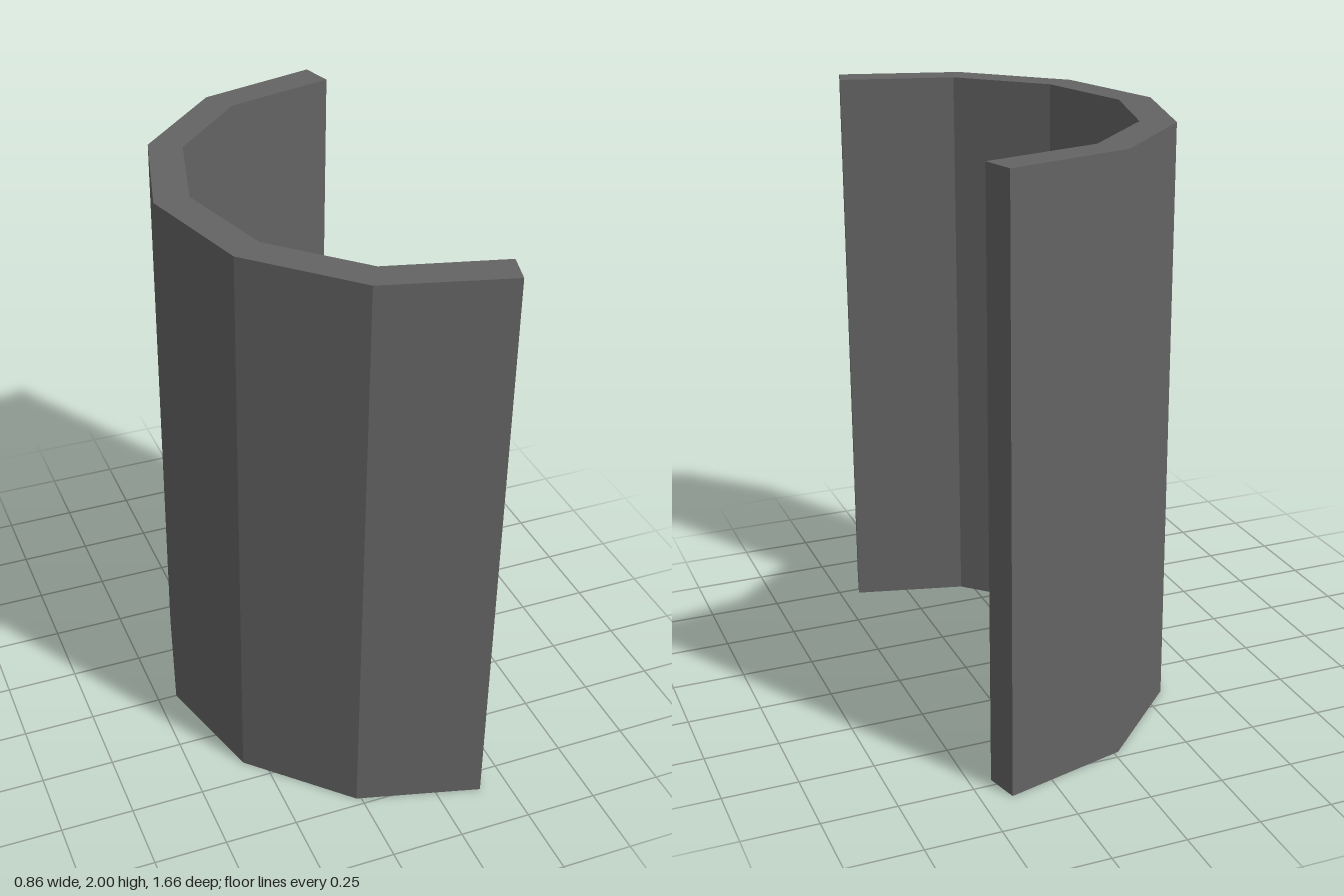
import * as THREE from 'three';

const HEIGHT = 2;
const CENTRE_X = 0.4;
const OUTER_RADIUS = 0.832;
const INNER_RADIUS = 0.716;

// Corner of a twelve-sided ring, at an angle in degrees
function corner(radius, degrees) {
  const a = THREE.MathUtils.degToRad(degrees);
  return new THREE.Vector2(CENTRE_X + radius * Math.cos(a), radius * Math.sin(a));
}

export function createModel() {
  const group = new THREE.Group();
  group.name = 'halfPipe';

  const darkGrey = new THREE.MeshStandardMaterial({ color: 0x646464 });
  darkGrey.name = 'darkGrey';

  // Half-ring outline: outer corners one way, inner corners back
  const outline = [];
  for (let d = 90; d <= 270; d += 30) outline.push(corner(OUTER_RADIUS, d));
  // The ends are cut square to the last wall segments
  outline.push(new THREE.Vector2(0.43, -0.72));
  for (let d = 240; d >= 120; d -= 30) outline.push(corner(INNER_RADIUS, d));
  outline.push(new THREE.Vector2(0.43, 0.72));

  // Extrude upwards from the ground
  const geometry = new THREE.ExtrudeGeometry(new THREE.Shape(outline), {
    depth: HEIGHT,
    bevelEnabled: false,
  });
  geometry.rotateX(-Math.PI / 2);

  const wall = new THREE.Mesh(geometry, darkGrey);
  wall.name = 'curvedWall';
  group.add(wall);
  return group;
}
